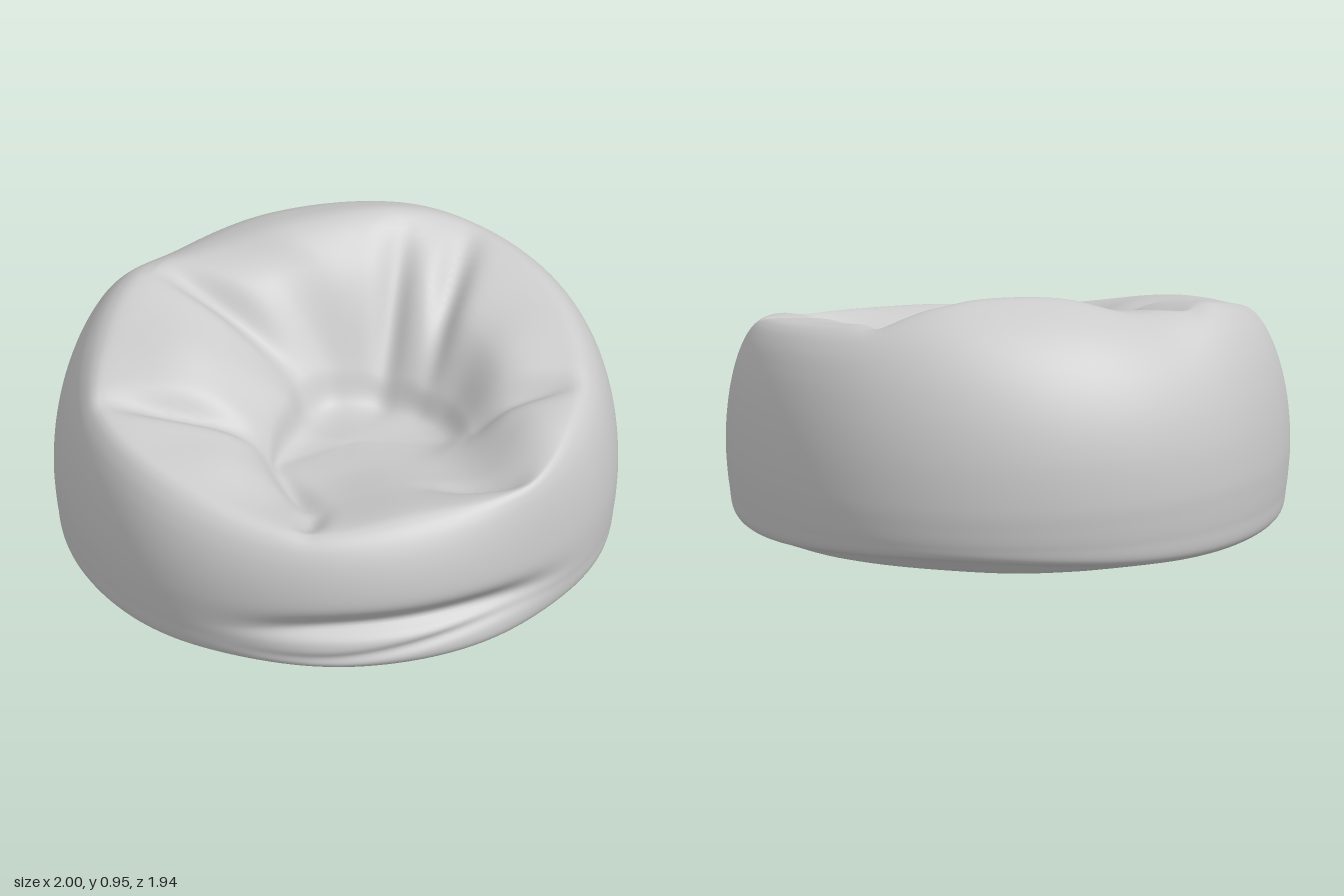
import * as THREE from 'three';
import { mergeVertices } from 'three/addons/utils/BufferGeometryUtils.js';

const V = (x, y, z) => new THREE.Vector3(x, y, z);
const loop = (pts) => new THREE.CatmullRomCurve3(pts.map((p) => V(...p)), true);

// Closed loops, all starting at the front and running by +x to the back
const crest = loop([
  [0.05, 0.57, 0.82], [0.5, 0.59, 0.77], [0.76, 0.685, 0.42], [0.81, 0.755, 0.1], [0.76, 0.81, -0.18],
  [0.6, 0.86, -0.42], [0.35, 0.935, -0.48], [-0.02, 0.928, -0.5], [-0.29, 0.86, -0.52], [-0.56, 0.86, -0.46],
  [-0.76, 0.77, -0.2], [-0.86, 0.695, 0.05], [-0.75, 0.645, 0.42], [-0.33, 0.545, 0.79],
]);
const wall = loop([
  [0.05, 0.49, 0.53], [0.36, 0.49, 0.53], [0.54, 0.62, 0.36], [0.55, 0.68, 0.13], [0.49, 0.74, -0.1],
  [0.42, 0.79, -0.26], [0.27, 0.82, -0.33], [0.08, 0.83, -0.35], [-0.13, 0.81, -0.36], [-0.34, 0.77, -0.28],
  [-0.42, 0.71, -0.08], [-0.47, 0.65, 0.1], [-0.44, 0.57, 0.36], [-0.28, 0.48, 0.54],
]);
const wallFoot = loop([
  [0.05, 0.44, 0.34], [0.28, 0.44, 0.34], [0.42, 0.49, 0.27], [0.41, 0.51, 0.12], [0.35, 0.53, 0.02],
  [0.28, 0.53, -0.08], [0.2, 0.53, -0.14], [0.1, 0.53, -0.17], [0, 0.54, -0.18], [-0.12, 0.55, -0.13],
  [-0.19, 0.56, 0], [-0.27, 0.53, 0.11], [-0.31, 0.48, 0.25], [-0.22, 0.44, 0.35],
]);
const floor = loop([
  [0.05, 0.42, 0.23], [0.23, 0.41, 0.23], [0.34, 0.41, 0.2], [0.34, 0.41, 0.12], [0.29, 0.41, 0.05],
  [0.23, 0.41, -0.02], [0.17, 0.41, -0.07], [0.09, 0.41, -0.09], [0.01, 0.41, -0.1], [-0.06, 0.41, -0.06],
  [-0.12, 0.42, 0.02], [-0.2, 0.42, 0.1], [-0.25, 0.42, 0.19], [-0.17, 0.42, 0.24],
]);

// Underside and lower side: [radius, height, polygon amount, lift at the back]
const base = [
  [0.3, 0.04, 0, 0], [0.57, 0.05, 0.05, 0], [0.63, 0.012, 0.05, 0], [0.7, 0.04, 0.04, 0],
  [0.77, 0.035, 0.03, 0], [0.84, 0.006, 0.02, 0.01], [0.92, 0.012, 0, 0.06], [0.97, 0.04, 0, 0.05],
  [0.987, 0.12, 0, 0.015], [0.996, 0.2, 0, 0],
];

// Creases in the seat: x1, z1, x2, z2, depth, width
const creases = [
  [-0.52, -0.5, -0.13, -0.17, 0.065, 0.055], [-0.85, 0.03, -0.33, 0.2, 0.06, 0.05],
  [-0.3, 0.2, -0.25, 0.6, 0.045, 0.05], [-0.25, 0.6, -0.33, 0.8, 0.035, 0.05],
  [0.37, -0.43, 0.2, -0.08, 0.065, 0.055], [0.6, -0.4, 0.34, 0.02, 0.065, 0.055],
  [0.77, 0.36, 0.42, 0.28, 0.055, 0.05], [0.52, 0.77, 0.2, 0.58, 0.04, 0.05],
];
// Stuffed swellings between them: x, z, height, width
const swellings = [
  [-0.52, -0.1, 0.035, 0.18], [0.58, 0.16, 0.03, 0.15], [-0.52, 0.4, 0.025, 0.14], [0.57, 0.52, 0.03, 0.12],
];
const bump = (d, w) => Math.exp(-((d / w) ** 2));

function seatOffset(x, z) {
  let sum = 0;
  for (const [x1, z1, x2, z2, depth, width] of creases) {
    const dx = x2 - x1, dz = z2 - z1;
    const t = THREE.MathUtils.clamp(((x - x1) * dx + (z - z1) * dz) / (dx * dx + dz * dz), 0, 1);
    const taper = 0.25 + 0.75 * Math.sin(Math.PI * t);
    sum -= depth * taper * bump(Math.hypot(x - x1 - t * dx, z - z1 - t * dz), width);
  }
  for (const [sx, sz, height, width] of swellings) sum += height * bump(Math.hypot(x - sx, z - sz), width);
  return sum;
}

// One vertical section from the underside centre, over the crest, to the seat centre
function section(u) {
  const c = crest.getPoint(u);
  const rc = Math.hypot(c.x, c.z), a = Math.atan2(c.x, c.z);
  const R = 1 + 0.012 * bump(Math.abs(a) - 0.95, 0.3);
  const dx = (c.x / rc) * R, dz = (c.z / rc) * R * 0.97;
  // the hem is lifted only towards the back on the +x side
  const lifted = Math.max(0, Math.cos(a - 2.6)) ** 4;
  const pts = [V(0, 0.04, 0)];
  for (const [r, y, poly, lift] of base) {
    const k = r * (1 + poly * Math.cos(6 * a + 0.5));
    pts.push(V(dx * k, y + lift * lifted, dz * k));
  }
  for (let i = 0; i < 6; i++) {
    const p = (i / 6) * Math.PI / 2, k = Math.cos(p);
    pts.push(V(c.x + (dx - c.x) * k, 0.28 + (c.y - 0.28) * Math.sin(p), c.z + (dz - c.z) * k));
  }
  pts.push(c, wall.getPoint(u), wallFoot.getPoint(u), floor.getPoint(u), V(0.05, 0.4, 0.1));
  return new THREE.CatmullRomCurve3(pts);
}

function fold(p) {
  const { x, y, z } = p;
  const r = Math.hypot(x, z);
  // creases and swellings of the seat
  if (y > 0.36) p.y += seatOffset(x, z) * THREE.MathUtils.smoothstep(0.97 - r, 0, 0.12);
  // gathered folds low on the front
  if (z > 0.4 && r > 0.8) {
    const across = Math.exp(-((x / 0.5) ** 4)) * THREE.MathUtils.smoothstep(r, 0.8, 0.9);
    const d = y - 0.19 + 0.05 * x * x;
    p.z += across * (0.025 * bump(y - 0.05, 0.07) - 0.06 * bump(d, d > 0 ? 0.055 : 0.035)
      - 0.015 * bump(y - 0.1 - 0.03 * Math.sin(4 * x), 0.02));
  }
  // crumpled cloth underneath
  if (y < 0.1 && r < 0.85) {
    const fade = Math.min(1, (0.85 - r) * 5) * Math.min(1, r * 8);
    const ridge = Math.abs(Math.sin(5 * x + 2 * Math.sin(4 * z)) * Math.cos(6 * z + 1.5 * Math.sin(5 * x)));
    p.y += fade * 0.045 * (0.4 - ridge);
  }
  p.y = Math.max(0, p.y);
  return p;
}

function bagGeometry(cols = 224, rows = 192) {
  const pos = [], idx = [];
  for (let i = 0; i < cols; i++) {
    const curve = section(i / cols);
    for (let j = 0; j <= rows; j++) pos.push(...fold(curve.getPoint(j / rows)).toArray());
  }
  for (let i = 0; i < cols; i++) {
    for (let j = 0; j < rows; j++) {
      const a = i * (rows + 1) + j, b = ((i + 1) % cols) * (rows + 1) + j;
      if (j > 0) idx.push(a, b, b + 1);
      if (j < rows - 1) idx.push(a, b + 1, a + 1);
      else idx.push(a, b, a + 1);
    }
  }
  let g = new THREE.BufferGeometry();
  g.setAttribute('position', new THREE.Float32BufferAttribute(pos, 3));
  g.setIndex(idx);
  g = mergeVertices(g, 1e-5);
  g.computeVertexNormals();
  return g;
}

export function createModel() {
  const group = new THREE.Group();
  group.name = 'beanbagChair';
  const bag = new THREE.Mesh(bagGeometry(), new THREE.MeshStandardMaterial({ color: 0xcccccc }));
  bag.name = 'bag';
  group.add(bag);
  return group;
}
